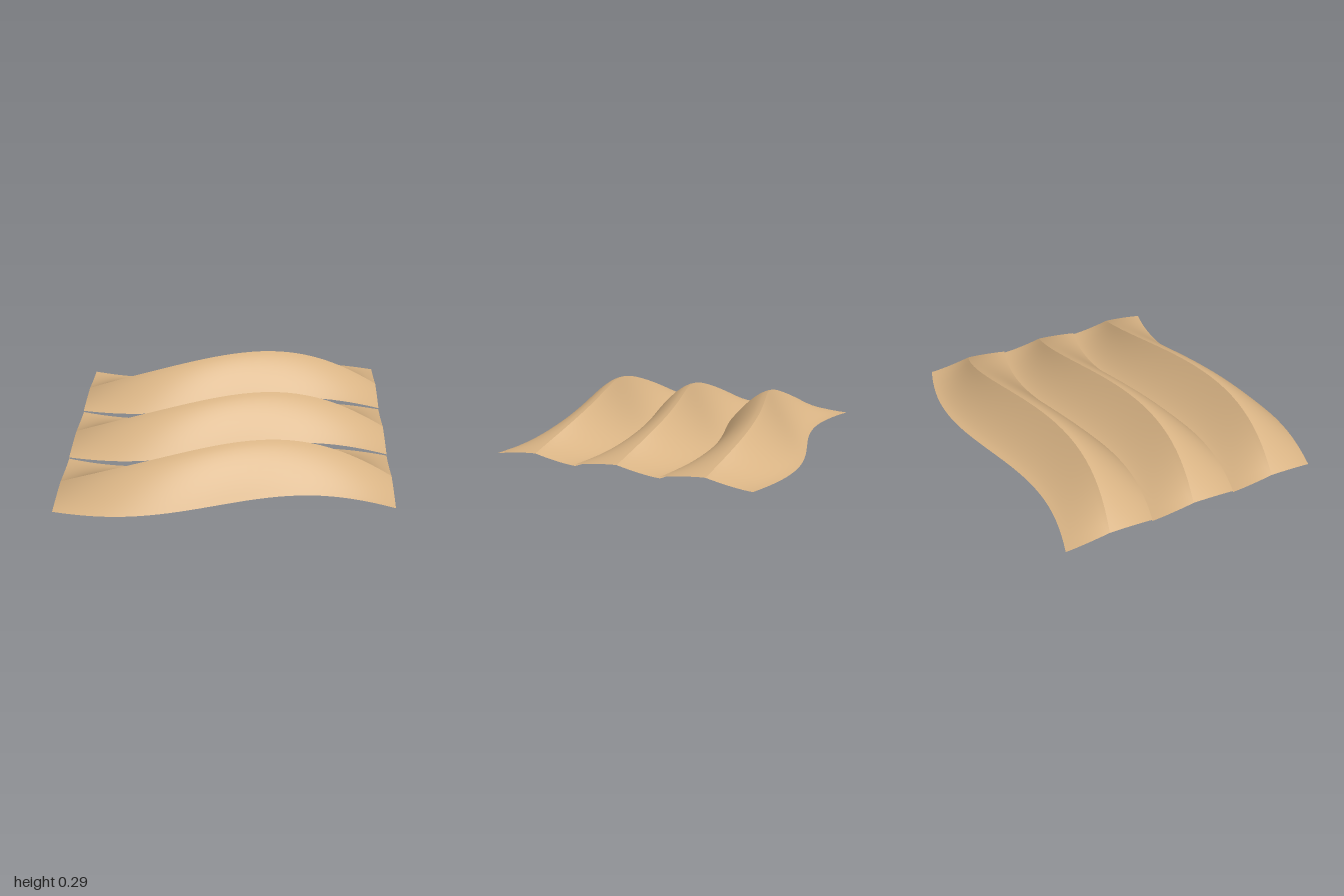
import * as THREE from 'three';

const STEP = 0.545;      // spacing between wave crests
const HALF = STEP / 2;   // depth of one slope

// Sideways meander, crest height and raised front lip along the length
const meander = (x) => -0.12 * Math.sin(2.66 * x);
const crestHeight = (x) => 0.29 * (1 - 0.885 * x * x) + 0.007 * x;
const lipHeight = (x) => 0.052 * (1 - 0.82 * x * x);

// Bends a flat strip; t runs from 0 at its back edge to 1 at its front edge
function slope(name, material, z0, height) {
  const geometry = new THREE.PlaneGeometry(2, 1, 32, 10);
  geometry.rotateX(-Math.PI / 2);
  const p = geometry.attributes.position;
  for (let i = 0; i < p.count; i++) {
    const x = p.getX(i);
    const t = p.getZ(i) + 0.5;
    p.setXYZ(i, x, height(x, t), z0 + t * HALF + meander(x));
  }
  geometry.computeVertexNormals();
  const mesh = new THREE.Mesh(geometry, material);
  mesh.name = name;
  return mesh;
}

export function createModel() {
  const model = new THREE.Group();
  model.name = 'waveRoof';
  const sand = new THREE.MeshStandardMaterial({ color: 0xd8b384, side: THREE.DoubleSide });
  sand.name = 'sand';

  // Hollow back slope rises to the crest, full front slope falls to the lip
  const backRise = (x, t) => crestHeight(x) * Math.pow(t, 1.5);
  const frontFall = (x, t) => {
    const lip = lipHeight(x);
    return lip + (crestHeight(x) - lip) * (1 - Math.pow(t, 1.5));
  };

  for (let i = -1; i <= 1; i++) {
    const wave = new THREE.Group();
    wave.name = ['backWave', 'middleWave', 'frontWave'][i + 1];
    wave.add(slope('backSlope', sand, i * STEP - HALF, backRise));
    wave.add(slope('frontSlope', sand, i * STEP, frontFall));
    model.add(wave);
  }
  return model;
}
